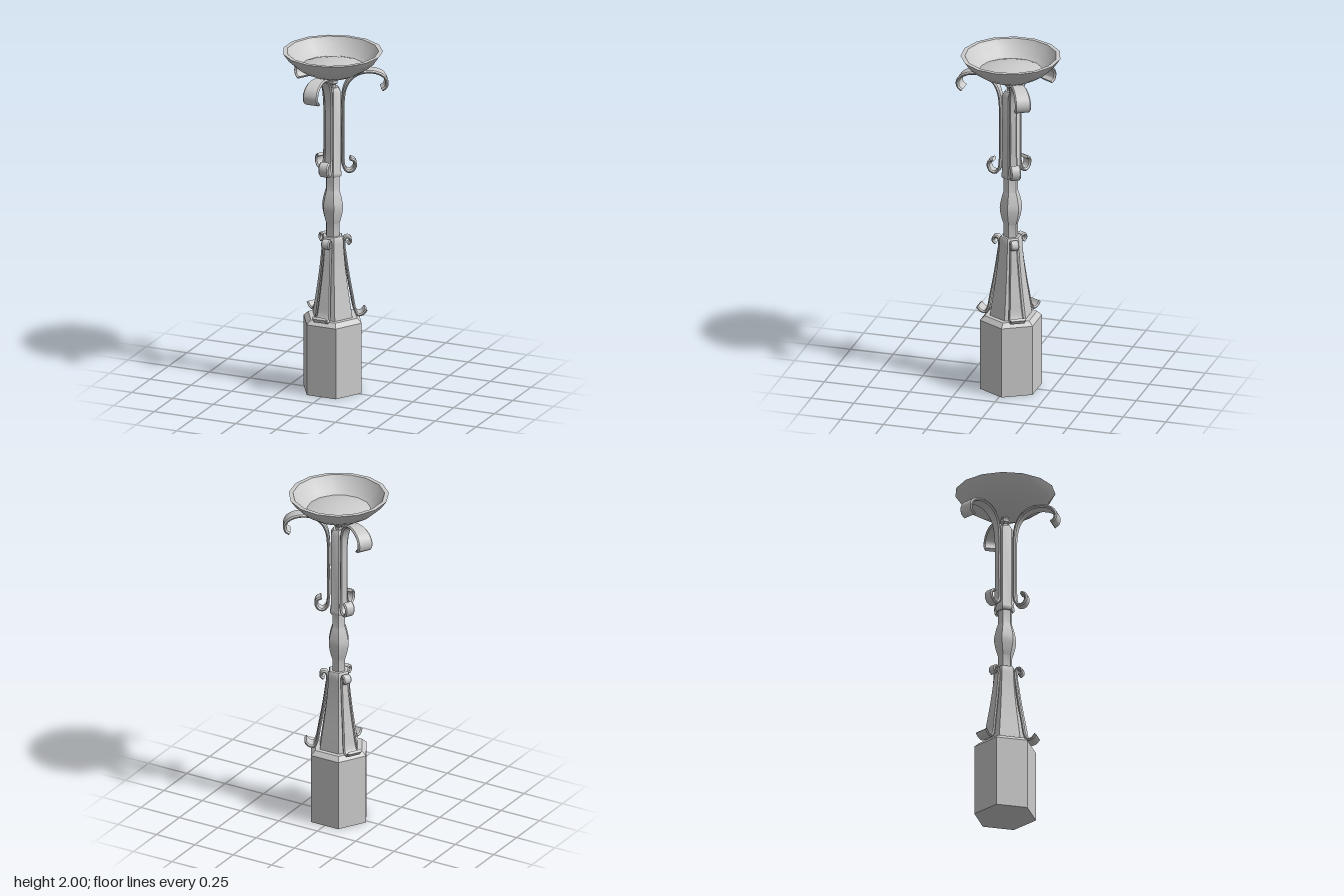
import * as THREE from 'three';
import { toCreasedNormals } from 'three/addons/utils/BufferGeometryUtils.js';

const material = new THREE.MeshStandardMaterial({ color: 0xcccccc });

// Turned part with few sides; profile is [radius, y] pairs from bottom to top
function turned(name, profile, sides, phi) {
  const points = profile.map(([r, y]) => new THREE.Vector2(r, y));
  const geo = toCreasedNormals(new THREE.LatheGeometry(points, sides, phi), 0.65);
  const mesh = new THREE.Mesh(geo, material);
  mesh.name = name;
  return mesh;
}
const hex = (name, profile) => turned(name, profile, 6, Math.PI / 6);

// Smooth a profile through a few points
function smooth(profile, n) {
  const curve = new THREE.SplineCurve(profile.map(([r, y]) => new THREE.Vector2(r, y)));
  return curve.getPoints(n).map((p) => [p.x, p.y]);
}

// Bevelled strap swept along a path in the z-y plane; each point is [z, y, width]
function strapGeometry(path, thickness, steps) {
  const curve = new THREE.CatmullRomCurve3(path.map(([z, y, w]) => new THREE.Vector3(w, y, z)));
  const rings = [];
  const t = thickness / 2, bevel = thickness * 0.4;
  for (let i = 0; i <= steps; i++) {
    const p = curve.getPoint(i / steps);
    const d = curve.getTangent(i / steps);
    const len = Math.hypot(d.y, d.z);
    const ny = d.z / len, nz = -d.y / len;
    const h = p.x / 2, q = h - bevel, s = t - bevel;
    const section = [[-q, -t], [q, -t], [h, -s], [h, s], [q, t], [-q, t], [-h, s], [-h, -s]];
    rings.push(section.map(([x, n]) => [x, p.y + n * ny, p.z + n * nz]));
  }
  const position = [], index = [];
  // One strip per side keeps the long edges sharp
  for (let k = 0; k < 8; k++) {
    const start = position.length / 3;
    rings.forEach((ring) => position.push(...ring[k], ...ring[(k + 1) % 8]));
    for (let i = 0; i < steps; i++) {
      const a = start + i * 2;
      index.push(a, a + 1, a + 2, a + 1, a + 3, a + 2);
    }
  }
  // End caps
  [rings[0].slice().reverse(), rings[steps]].forEach((ring) => {
    const start = position.length / 3;
    ring.forEach((p) => position.push(...p));
    for (let k = 1; k < 7; k++) index.push(start, start + k, start + k + 1);
  });
  const geo = new THREE.BufferGeometry();
  geo.setAttribute('position', new THREE.Float32BufferAttribute(position, 3));
  geo.setIndex(index);
  geo.computeVertexNormals();
  return geo;
}

export function createModel() {
  const model = new THREE.Group();
  model.name = 'standingBowl';
  const body = new THREE.Group();
  body.name = 'body';
  body.position.z = -0.016;
  model.add(body);

  // Six-sided plinth with a chamfered top
  body.add(hex('plinth', [[0, 0], [0.178, 0], [0.178, 0.415], [0.15, 0.44], [0, 0.44]]));

  // Flared lower pedestal
  body.add(hex('pedestal', [
    ...smooth([[0.122, 0.435], [0.112, 0.5], [0.096, 0.6], [0.082, 0.7], [0.071, 0.8], [0.064, 0.905]], 12),
    [0.058, 0.912], [0, 0.912],
  ]));

  // Slim stem with a swollen middle
  body.add(hex('stem', [
    [0.041, 0.9], [0.041, 0.985],
    ...smooth([[0.043, 0.99], [0.055, 1.03], [0.064, 1.085], [0.055, 1.14], [0.043, 1.18]], 14),
    [0.041, 1.185], [0.041, 1.28],
  ]));

  // Upper shaft with collar and chamfered ends
  body.add(hex('upperShaft', [
    [0, 1.265], [0.048, 1.265], [0.055, 1.275], [0.055, 1.29], [0.051, 1.3],
    [0.051, 1.765], [0.035, 1.79], [0, 1.79],
  ]));

  // Small neck under the bowl
  body.add(hex('neck', [
    [0.02, 1.78], [0.02, 1.805], [0.03, 1.815], [0.03, 1.83], [0.02, 1.84], [0.02, 1.86],
  ]));

  // Fifteen-sided bowl, outside then rim then inside
  body.add(turned('bowl', [
    [0, 1.845], [0.05, 1.848], [0.105, 1.861], [0.16, 1.886], [0.21, 1.918], [0.25, 1.954], [0.282, 2],
    [0.258, 2], [0.235, 1.965], [0.205, 1.933], [0.18, 1.91], [0.14, 1.89],
  ], 15, Math.PI / 2));

  // Shallow domed filling inside the bowl
  body.add(turned('bowlFilling', [
    [0.186, 1.908], [0.15, 1.92], [0.1, 1.932], [0.05, 1.938], [0, 1.94],
  ], 15, Math.PI / 2));

  // Three scrolled straps on the shaft and three on the pedestal
  const upper = strapGeometry([
    [0.098, 1.366, 0.06], [0.121, 1.353, 0.06], [0.126, 1.325, 0.06], [0.111, 1.298, 0.06],
    [0.086, 1.292, 0.058], [0.064, 1.315, 0.055], [0.057, 1.37, 0.048], [0.057, 1.53, 0.045],
    [0.057, 1.7, 0.048], [0.068, 1.78, 0.055], [0.096, 1.835, 0.062], [0.14, 1.868, 0.07],
    [0.19, 1.88, 0.077], [0.245, 1.874, 0.084], [0.286, 1.851, 0.089], [0.302, 1.82, 0.092],
    [0.296, 1.789, 0.092], [0.275, 1.773, 0.092],
  ], 0.018, 72);
  const lower = strapGeometry([
    [0.186, 0.474, 0.088], [0.166, 0.451, 0.088], [0.14, 0.447, 0.086], [0.124, 0.472, 0.082],
    [0.107, 0.56, 0.07], [0.086, 0.68, 0.058], [0.069, 0.8, 0.048], [0.062, 0.868, 0.046],
    [0.073, 0.9, 0.048], [0.093, 0.899, 0.05], [0.1, 0.876, 0.05], [0.084, 0.86, 0.05],
  ], 0.016, 56);
  for (let i = 0; i < 3; i++) {
    [['upperScroll', upper], ['lowerScroll', lower]].forEach(([name, geo]) => {
      const scroll = new THREE.Mesh(geo, material);
      scroll.name = name;
      scroll.rotation.y = (i * Math.PI * 2) / 3;
      body.add(scroll);
    });
  }
  return model;
}
